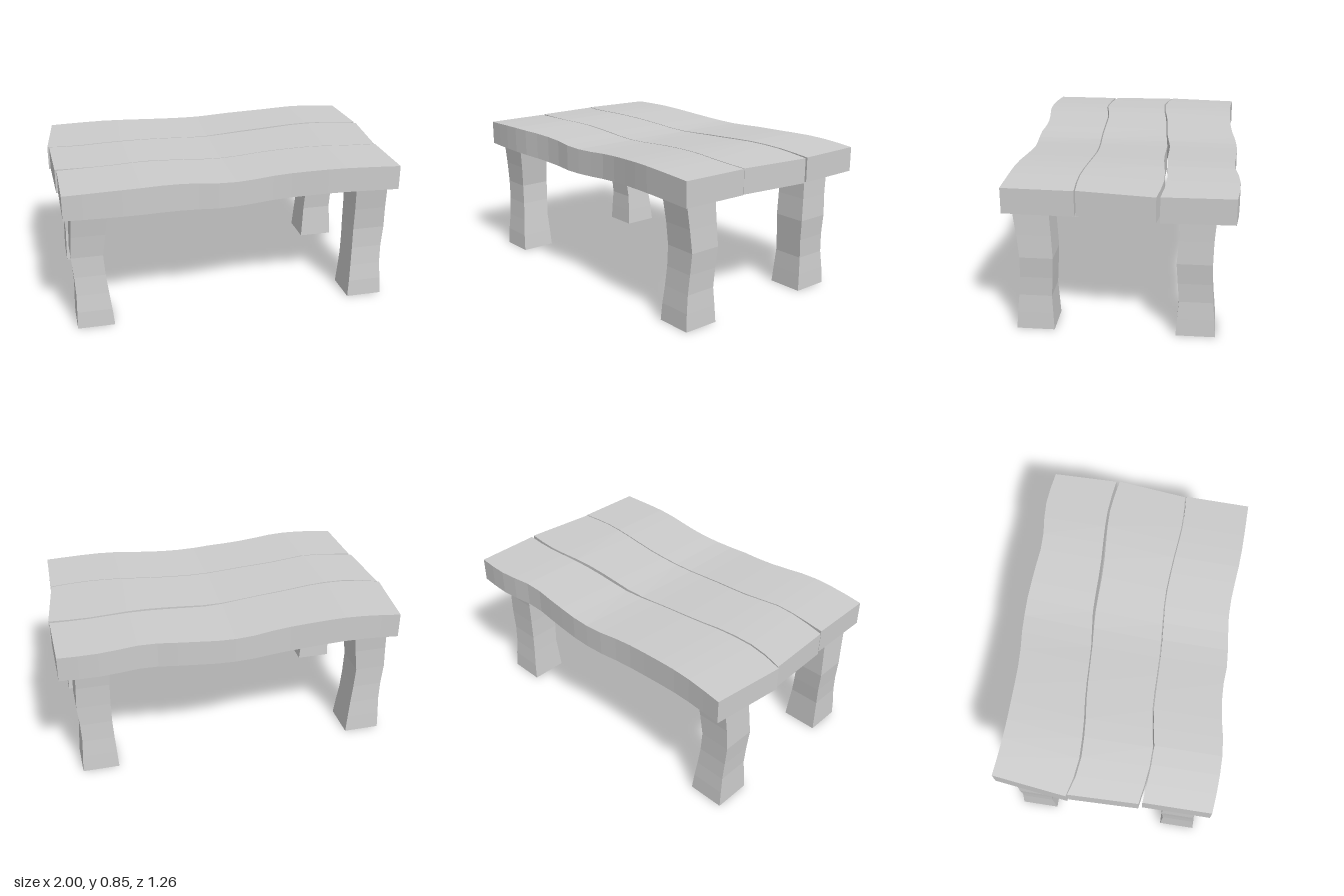
import * as THREE from 'three';

const material = new THREE.MeshStandardMaterial({ color: 0xcccccc, flatShading: true });
const spline = (pts) => new THREE.SplineCurve(pts.map(([a, b]) => new THREE.Vector2(a, b)));

// Skins a list of four-cornered sections and caps both ends.
function loft(name, sections) {
  const pos = sections.flat(2), index = [], n = sections.length;
  for (let i = 0; i < n - 1; i++) {
    for (let j = 0; j < 4; j++) {
      const a = i * 4 + j, b = i * 4 + (j + 1) % 4;
      index.push(a, b, b + 4, a, b + 4, a + 4);
    }
  }
  const e = (n - 1) * 4;
  index.push(0, 2, 1, 0, 3, 2, e, e + 1, e + 2, e, e + 2, e + 3);
  const geo = new THREE.BufferGeometry();
  geo.setAttribute('position', new THREE.Float32BufferAttribute(pos, 3));
  geo.setIndex(index);
  const flat = geo.toNonIndexed();
  flat.computeVertexNormals();
  const mesh = new THREE.Mesh(flat, material);
  mesh.name = name;
  return mesh;
}

// Wavy upper and lower height of the table top along x
const topWave = spline([[-1, 0.835], [-0.65, 0.85], [-0.3, 0.838], [0, 0.822], [0.3, 0.838], [0.6, 0.85], [1, 0.835]]);
const lowWave = spline([[-1, 0.695], [-0.65, 0.697], [-0.3, 0.682], [0, 0.677], [0.3, 0.692], [0.6, 0.705], [1, 0.695]]);
const heightAt = (curve, x) => curve.getPointAt(THREE.MathUtils.clamp((x + 1) / 2, 0, 1)).y;

// Plank between two wandering edges given as [x, z]
function plank(name, backPts, frontPts) {
  const back = spline(backPts), front = spline(frontPts), steps = 18, sections = [];
  for (let i = 0; i <= steps; i++) {
    const b = back.getPointAt(i / steps), f = front.getPointAt(i / steps);
    sections.push([
      [b.x, heightAt(lowWave, b.x), b.y],
      [b.x, heightAt(topWave, b.x), b.y],
      [f.x, heightAt(topWave, f.x), f.y],
      [f.x, heightAt(lowWave, f.x), f.y],
    ]);
  }
  return loft(name, sections);
}

// Crooked leg: extents at the listed heights
const levels = [0, 0.1, 0.2, 0.31, 0.43, 0.56, 0.69, 0.71];
const legX = {
  Right: [[-0.93, -0.72], [-0.928, -0.73], [-0.925, -0.742], [-0.93, -0.755], [-0.94, -0.763], [-0.933, -0.745], [-0.925, -0.727], [-0.925, -0.727]],
  Left: [[0.69, 0.9], [0.697, 0.895], [0.704, 0.888], [0.71, 0.892], [0.712, 0.903], [0.71, 0.897], [0.703, 0.893], [0.703, 0.893]],
};
const legZ = {
  front: [[0.35, 0.558], [0.355, 0.552], [0.36, 0.54], [0.352, 0.53], [0.345, 0.526], [0.352, 0.538], [0.36, 0.555], [0.36, 0.555]],
  back: [[-0.53, -0.315], [-0.523, -0.322], [-0.513, -0.33], [-0.506, -0.322], [-0.505, -0.314], [-0.508, -0.324], [-0.518, -0.33], [-0.518, -0.33]],
};

export function createModel() {
  const group = new THREE.Group();
  group.name = 'table';

  group.add(plank('backPlank',
    [[-0.95, -0.61], [-0.77, -0.595], [-0.6, -0.59], [-0.27, -0.595], [-0.1, -0.615], [0.1, -0.626], [0.3, -0.618], [0.5, -0.605], [0.65, -0.624], [0.8, -0.633], [0.985, -0.615]],
    [[-1, -0.19], [-0.82, -0.153], [-0.6, -0.16], [-0.4, -0.183], [-0.1, -0.202], [0.1, -0.228], [0.4, -0.232], [0.75, -0.25], [0.99, -0.23]]));
  group.add(plank('middlePlank',
    [[-0.99, -0.183], [-0.82, -0.143], [-0.6, -0.15], [-0.4, -0.175], [-0.1, -0.195], [0.1, -0.212], [0.4, -0.212], [0.75, -0.236], [0.995, -0.21]],
    [[-0.98, 0.208], [-0.8, 0.236], [-0.65, 0.24], [-0.45, 0.207], [-0.1, 0.2], [0.25, 0.18], [0.5, 0.194], [0.75, 0.215], [0.945, 0.208]]));
  group.add(plank('frontPlank',
    [[-0.97, 0.228], [-0.8, 0.243], [-0.65, 0.247], [-0.45, 0.215], [-0.1, 0.207], [0.25, 0.187], [0.5, 0.2], [0.75, 0.221], [0.95, 0.215]],
    [[-0.97, 0.61], [-0.8, 0.624], [-0.6, 0.624], [-0.43, 0.598], [-0.27, 0.584], [-0.1, 0.593], [0.05, 0.58], [0.23, 0.566], [0.4, 0.577], [0.6, 0.594], [0.94, 0.602]]));

  for (const [side, xs] of Object.entries(legX)) {
    for (const [end, zs] of Object.entries(legZ)) {
      group.add(loft(`${end}${side}Leg`, levels.map((y, i) => {
        const [x0, x1] = xs[i], [z0, z1] = zs[i];
        return [[x0, y, z0], [x0, y, z1], [x1, y, z1], [x1, y, z0]];
      })));
    }
  }
  return group;
}
